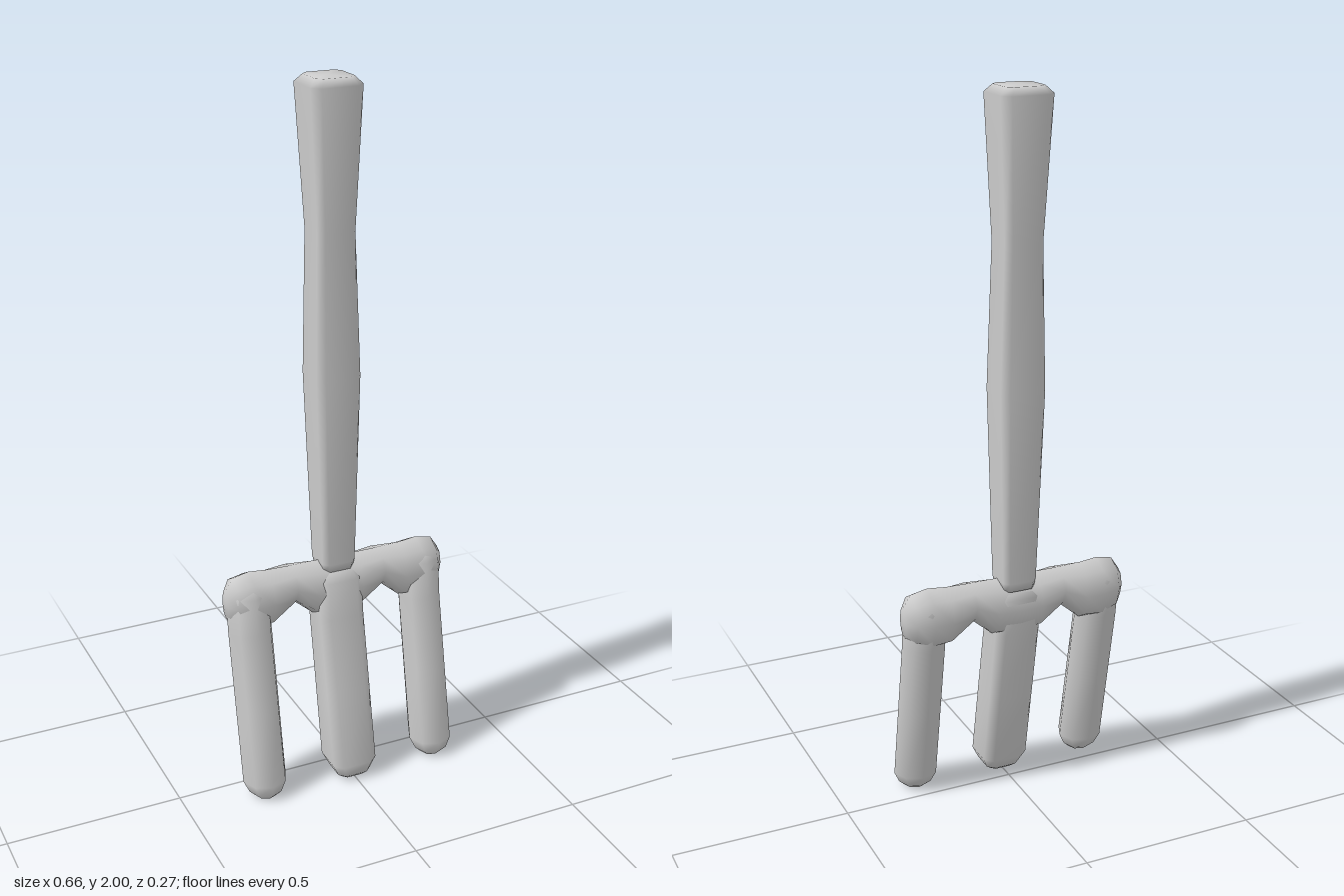
import * as THREE from 'three';

const material = new THREE.MeshStandardMaterial({ color: 0xcccccc });

// Eight-sided outlines: a round one, and a square one with cut corners.
const ROUND = Array.from({ length: 8 }, (_, i) => [Math.cos(i * Math.PI / 4), Math.sin(i * Math.PI / 4)]);
const square = (k) => [[1, -k], [1, k], [k, 1], [-k, 1], [-1, k], [-1, -k], [-k, -1], [k, -1]];

// Skins sections [t, centreU, centreV, halfU, halfV]; place() turns (u, t, v) into x, y, z.
function loft(name, outline, sections, place = (u, t, v) => [u, t, v]) {
  const n = outline.length, last = sections.length - 1;
  const positions = [], index = [];
  for (const [t, cu, cv, hu, hv] of sections) {
    for (const [u, v] of outline) positions.push(...place(cu + hu * u, t, cv + hv * v));
  }
  for (let i = 0; i < last; i++) {
    for (let j = 0; j < n; j++) {
      const a = i * n + j, b = i * n + (j + 1) % n;
      index.push(a, a + n, b, b, a + n, b + n);
    }
  }
  // end caps
  const start = positions.length / 3;
  for (const i of [0, last]) {
    const [t, cu, cv] = sections[i];
    positions.push(...place(cu, t, cv));
  }
  for (let j = 0; j < n; j++) {
    const k = (j + 1) % n;
    index.push(start, j, k, start + 1, last * n + k, last * n + j);
  }
  const geometry = new THREE.BufferGeometry();
  geometry.setAttribute('position', new THREE.Float32BufferAttribute(positions, 3));
  geometry.setIndex(index);
  geometry.computeVertexNormals();
  const mesh = new THREE.Mesh(geometry, material);
  mesh.name = name;
  return mesh;
}

// A tine leans forward towards its tip and bends upright near the crossbar.
function tine(name, x, half, outline) {
  return loft(name, outline, [
    [0.0, x, 0.078, half * 0.5, 0.033],
    [0.015, x, 0.076, half * 0.75, 0.05],
    [0.05, x, 0.07, half, 0.064],
    [0.27, x, 0.027, half, 0.062],
    [0.49, x, -0.016, half, 0.06],
    [0.6, x, -0.028, half, 0.06],
    [0.635, x, -0.03, half * 0.7, 0.035],
  ]);
}

export function createModel() {
  const group = new THREE.Group();
  group.name = 'handFork';

  // handle, swelling at mid grip and flared at the end
  group.add(loft('handle', square(0.7), [
    [0.625, 0, -0.035, 0.045, 0.047],
    [0.65, 0, -0.035, 0.05, 0.051],
    [1.2, 0, -0.045, 0.065, 0.065],
    [1.6, 0, -0.053, 0.055, 0.057],
    [1.98, 0, -0.06, 0.074, 0.074],
    [2.0, 0, -0.06, 0.055, 0.055],
  ]));

  // crossbar: [x, top, bottom, half depth], arching between the tines
  const half = [
    [0, 0.652, 0.48, 0.061],
    [0.065, 0.652, 0.485, 0.061],
    [0.135, 0.652, 0.545, 0.061],
    [0.205, 0.654, 0.485, 0.062],
    [0.26, 0.66, 0.48, 0.064],
    [0.308, 0.65, 0.5, 0.055],
    [0.331, 0.615, 0.53, 0.025],
  ];
  const mirrored = half.slice(1).reverse().map(([x, ...rest]) => [-x, ...rest]);
  const bar = [...mirrored, ...half].map(([x, top, bottom, depth]) =>
    [x, -0.031, (top + bottom) / 2, depth, (top - bottom) / 2]);
  group.add(loft('crossbar', ROUND, bar, (u, t, v) => [t, v, u]));

  // tines
  group.add(tine('middleTine', 0, 0.067, square(0.65)));
  group.add(tine('leftTine', 0.266, 0.065, ROUND));
  group.add(tine('rightTine', -0.266, 0.065, ROUND));
  return group;
}
